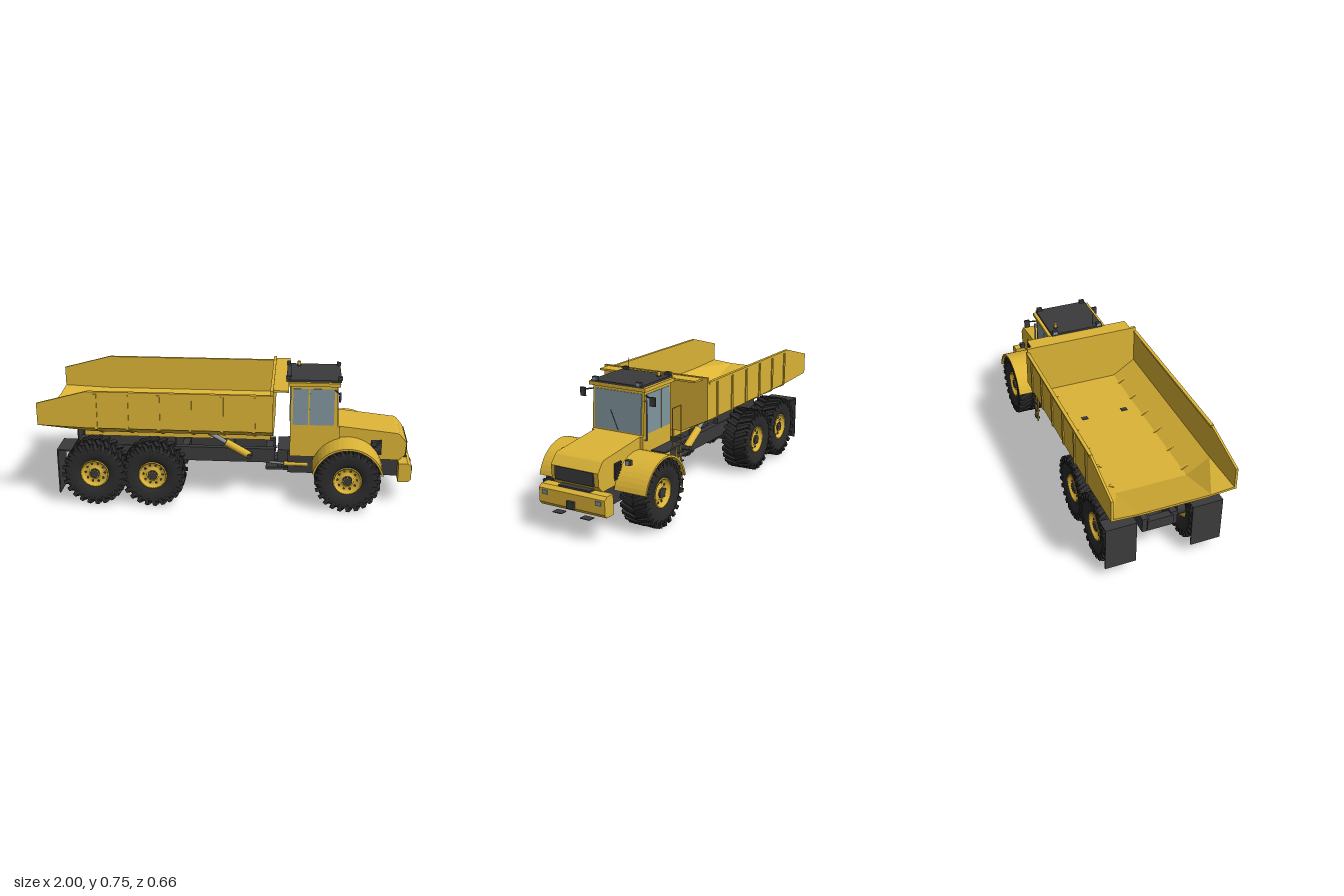
import * as THREE from 'three';
import { mergeGeometries } from 'three/addons/utils/BufferGeometryUtils.js';

const mat = (name, color) => {
  const m = new THREE.MeshStandardMaterial({ color });
  m.name = name;
  return m;
};

export function createModel() {
  const root = new THREE.Group();
  root.name = 'dumpTruck';
  const yellow = mat('yellow paint', 0xdcb436);
  const dark = mat('dark grey', 0x3b3b3d);
  const rubber = mat('tyre rubber', 0x2c2c2d);
  const glass = mat('glass', 0x82979f);
  const steel = mat('steel', 0x8f9496);

  const add = (name, geo, m, parent = root) => {
    const mesh = new THREE.Mesh(geo, m);
    mesh.name = name;
    parent.add(mesh);
    return mesh;
  };
  // box given by its limits on each axis
  const box = (name, m, x0, x1, y0, y1, z0, z1, parent) => {
    const b = add(name, new THREE.BoxGeometry(x1 - x0, y1 - y0, z1 - z0), m, parent);
    b.position.set((x0 + x1) / 2, (y0 + y1) / 2, (z0 + z1) / 2);
    return b;
  };
  // box repeated on both sides
  const pair = (name, m, x0, x1, y0, y1, z0, z1) => {
    box(name, m, x0, x1, y0, y1, z0, z1);
    box(name, m, x0, x1, y0, y1, -z1, -z0);
  };
  // round bar between two points
  const rod = (name, m, a, b, r, seg = 10) => {
    const p = new THREE.Vector3(...a), q = new THREE.Vector3(...b);
    const mesh = add(name, new THREE.CylinderGeometry(r, r, p.distanceTo(q), seg), m);
    mesh.position.copy(p).lerp(q, 0.5);
    mesh.quaternion.setFromUnitVectors(new THREE.Vector3(0, 1, 0), q.sub(p).normalize());
    return mesh;
  };
  // side profile (x, y) extruded from z0 to z1
  const slab = (name, m, pts, z0, z1) => {
    const shape = new THREE.Shape(pts.map(p => new THREE.Vector2(...p)));
    const g = new THREE.ExtrudeGeometry(shape, { depth: z1 - z0, bevelEnabled: false });
    return add(name, g.translate(0, 0, z0), m);
  };

  // ---- dump body: U-shaped shell through three cross-sections
  const ring = ([x, top, knee, floor]) => {
    const outer = [[0.325, top], [0.325, knee], [0.165, floor]];
    const inner = [[0.19, floor + 0.012], [0.313, knee + 0.012], [0.313, top]];
    const flip = a => a.map(([z, y]) => [-z, y]).reverse();
    return [...outer, ...flip(outer), ...flip(inner), ...inner].map(([z, y]) => [x, y, z]);
  };
  const rings = [[-1, 0.585, 0.465, 0.455], [-0.74, 0.655, 0.455, 0.375], [0.24, 0.655, 0.455, 0.375]].map(ring);
  const pos = [];
  const quad = (a, b, c, d) => pos.push(...a, ...b, ...c, ...a, ...c, ...d);
  for (let i = 0; i < 2; i++)
    for (let j = 0; j < 12; j++) {
      const k = (j + 1) % 12;
      quad(rings[i][j], rings[i][k], rings[i + 1][k], rings[i + 1][j]);
    }
  for (let k = 0; k < 5; k++) quad(rings[0][11 - k], rings[0][10 - k], rings[0][k + 1], rings[0][k]);
  const shell = new THREE.BufferGeometry();
  shell.setAttribute('position', new THREE.Float32BufferAttribute(pos, 3));
  shell.computeVertexNormals();
  add('dumpBody', shell, yellow);

  const wall = new THREE.Shape([[0.32, 0.68], [-0.32, 0.68], [-0.324, 0.455], [-0.165, 0.376], [0.165, 0.376], [0.324, 0.455]]
    .map(p => new THREE.Vector2(...p)));
  add('bodyFrontWall', new THREE.ExtrudeGeometry(wall, { depth: 0.016, bevelEnabled: false })
    .rotateY(Math.PI / 2).translate(0.226, 0, 0), yellow);
  box('bodyCanopy', yellow, 0.24, 0.32, 0.666, 0.676, -0.293, 0.293);
  box('bodySubframe', yellow, -0.8, 0.225, 0.33, 0.376, -0.11, 0.11);
  for (let i = 0; i < 6; i++) {
    const x = -0.687 + i * 0.166;
    pair('bodyRib', yellow, x - 0.008, x + 0.008, 0.455, 0.645, 0.322, 0.331);
    for (const s of [-1, 1]) {
      const r = add('lowerRib', new THREE.BoxGeometry(0.016, 0.01, 0.178), yellow);
      r.position.set(x, 0.414, s * 0.245);
      r.rotation.x = -s * 0.46;
    }
  }
  pair('bodyTopRail', yellow, -0.73, 0.226, 0.645, 0.657, 0.31, 0.328);
  pair('hoistPin', dark, -0.12, -0.095, 0.376, 0.39, 0.098, 0.132);

  // ---- rear frame
  pair('frameRail', dark, -0.85, 0.25, 0.19, 0.27, 0.06, 0.095);
  for (const x of [-0.84, -0.56, -0.25, 0, 0.22]) box('crossMember', dark, x - 0.02, x + 0.02, 0.2, 0.26, -0.07, 0.07);
  pair('bodySupport', dark, -0.78, -0.3, 0.265, 0.332, 0.06, 0.09);
  pair('mudFlap', dark, -0.909, -0.902, 0.07, 0.322, 0.15, 0.315);
  pair('flapBracket', dark, -0.905, -0.83, 0.314, 0.322, 0.15, 0.315);
  for (const s of [-1, 1]) {
    rod('hoistBarrel', yellow, [0.11, 0.24, s * 0.12], [-0.02, 0.315, s * 0.12], 0.021, 16);
    rod('hoistRod', steel, [-0.02, 0.315, s * 0.12], [-0.11, 0.368, s * 0.12], 0.012);
    rod('hoistMount', dark, [0.11, 0.24, s * 0.08], [0.11, 0.24, s * 0.145], 0.014);
    rod('steeringBarrel', yellow, [0.3, 0.2, s * 0.125], [0.43, 0.2, s * 0.125], 0.012);
    rod('steeringRod', steel, [0.22, 0.2, s * 0.11], [0.3, 0.2, s * 0.125], 0.007);
  }
  box('articulationHitch', dark, 0.265, 0.34, 0.155, 0.27, -0.1, 0.1);
  box('hitchPlate', dark, 0.2, 0.34, 0.155, 0.17, -0.11, 0.11);
  rod('driveShaft', dark, [-0.72, 0.18, 0], [0.64, 0.18, 0], 0.016);

  // ---- front frame, bumper
  box('frontFrame', dark, 0.32, 0.92, 0.15, 0.262, -0.13, 0.13);
  slab('bumper', yellow, [[0.915, 0.14], [0.97, 0.14], [0.985, 0.158], [0.985, 0.23], [0.965, 0.245], [0.915, 0.245]], -0.193, 0.193);
  pair('bumperLight', glass, 0.983, 0.99, 0.201, 0.222, 0.142, 0.172);
  box('towBlock', dark, 0.98, 1, 0.157, 0.194, -0.021, 0.021);
  pair('towPlate', dark, 0.955, 0.995, 0.119, 0.123, 0.055, 0.11);
  box('lowerGrille', dark, 0.92, 0.965, 0.243, 0.254, -0.092, 0.092);

  // ---- hood
  slab('hood', yellow, [[0.57, 0.245], [0.92, 0.245], [0.952, 0.275], [0.957, 0.345], [0.945, 0.36], [0.92, 0.39], [0.905, 0.398], [0.57, 0.434]], -0.138, 0.138);
  box('grille', dark, 0.95, 0.962, 0.278, 0.345, -0.113, 0.113);
  pair('louverPanel', dark, 0.765, 0.825, 0.272, 0.358, 0.135, 0.141);
  for (let i = 0; i < 7; i++) pair('louverFin', dark, 0.768, 0.822, 0.276 + i * 0.012, 0.281 + i * 0.012, 0.138, 0.146);

  // ---- cab
  slab('cab', yellow, [[0.33, 0.257], [0.6, 0.257], [0.595, 0.43], [0.585, 0.434], [0.575, 0.665], [0.33, 0.665]], -0.154, 0.154);
  box('roofTrim', yellow, 0.315, 0.592, 0.66, 0.679, -0.168, 0.168);
  box('roof', dark, 0.306, 0.597, 0.679, 0.69, -0.15, 0.15);
  const windshield = box('windshield', glass, 0.578, 0.585, 0.44, 0.645, -0.139, 0.139);
  windshield.rotation.z = 0.043;
  rod('wiper', dark, [0.588, 0.445, -0.002], [0.584, 0.543, 0.044], 0.003, 6);
  box('rearWindow', glass, 0.325, 0.331, 0.45, 0.64, -0.125, 0.125);
  for (const [a, b] of [[0.343, 0.424], [0.432, 0.562]]) pair('sideWindow', glass, a, b, 0.44, 0.643, 0.15, 0.157);
  for (const s of [-1, 1]) {
    rod('mirrorArm', dark, [0.565, 0.638, s * 0.154], [0.588, 0.63, s * 0.205], 0.004, 6);
    for (const x of [0.315, 0.588]) {
      const f = x > 0.4 ? 1 : -1;
      box('workLight', dark, x - 0.01, x + 0.01, 0.687, 0.706, s * 0.13 - 0.014, s * 0.13 + 0.014);
      box('workLightLens', glass, x + f * 0.011 - 0.002, x + f * 0.011 + 0.002, 0.689, 0.704, s * 0.13 - 0.012, s * 0.13 + 0.012);
    }
  }
  pair('mirror', dark, 0.583, 0.593, 0.595, 0.641, 0.194, 0.224);
  rod('beaconBase', dark, [0.37, 0.69, -0.108], [0.37, 0.697, -0.108], 0.011, 14);
  rod('beacon', yellow, [0.37, 0.697, -0.108], [0.37, 0.716, -0.108], 0.009, 14);
  rod('antenna', dark, [0.33, 0.69, 0.102], [0.33, 0.757, 0.102], 0.0015, 6);

  // ---- front fenders and headlights
  const arch = [];
  for (let i = 0; i <= 20; i++) {
    const a = 0.24 + (Math.PI - 0.48) * i / 20;
    arch.push([0.64 + 0.193 * Math.cos(a), 0.179 + 0.193 * Math.sin(a)]);
  }
  const archIn = arch.map(([x, y]) => [0.64 + (x - 0.64) * 0.945, 0.179 + (y - 0.179) * 0.945]).reverse();
  slab('fender', yellow, [...arch, ...archIn], 0.137, 0.317);
  slab('fender', yellow, [...arch, ...archIn], -0.317, -0.137);
  pair('headlight', dark, 0.765, 0.788, 0.346, 0.371, 0.176, 0.204);
  pair('headlightLens', glass, 0.787, 0.791, 0.349, 0.369, 0.179, 0.202);

  // ---- access ladder, platform and handrails on the right side
  box('platform', dark, 0.335, 0.52, 0.335, 0.345, -0.232, -0.15);
  for (const x of [0.355, 0.395]) rod('ladderRail', yellow, [x, 0.34, -0.228], [x, 0.085, -0.24], 0.005, 8);
  for (let i = 0; i < 5; i++) box('ladderRung', dark, 0.353, 0.397, 0.1 + i * 0.052, 0.107 + i * 0.052, -0.247, -0.227);
  for (const x of [0.345, 0.43]) rod('handrailPost', yellow, [x, 0.34, -0.226], [x, 0.55, -0.226], 0.003, 8);
  rod('handrailTop', yellow, [0.345, 0.55, -0.226], [0.43, 0.55, -0.226], 0.003, 8);
  rod('grabRail', steel, [0.575, 0.41, -0.166], [0.575, 0.615, -0.166], 0.0045, 8);
  for (const y of [0.412, 0.612]) rod('grabRailEnd', steel, [0.575, y, -0.15], [0.575, y, -0.168], 0.004, 8);

  // ---- wheels: tyre with chevron lugs, dished rim and hub; outer side is local +z
  const lathe = (pts, seg = 40) => new THREE.LatheGeometry(pts.map(p => new THREE.Vector2(...p)), seg).rotateX(Math.PI / 2);
  const tyreGeo = lathe([[0.074, -0.055], [0.08, -0.063], [0.105, -0.071], [0.14, -0.074], [0.157, -0.068], [0.164, -0.055],
    [0.165, 0], [0.164, 0.055], [0.157, 0.068], [0.14, 0.074], [0.105, 0.071], [0.08, 0.063], [0.074, 0.055]]);
  const lugs = [];
  const count = 24;
  for (let i = 0; i < count; i++)
    for (const s of [-1, 1]) {
      const a = (i + (s > 0 ? 0.5 : 0)) / count * Math.PI * 2;
      lugs.push(new THREE.BoxGeometry(0.018, 0.021, 0.076).rotateX(s * 0.42).translate(0.166, 0, s * 0.037).rotateZ(a));
      lugs.push(new THREE.BoxGeometry(0.034, 0.019, 0.012).translate(0.153, s * s * -0.014, s * 0.07).rotateZ(a));
    }
  const lugGeo = mergeGeometries(lugs);
  const rimGeo = lathe([[0.077, 0.04], [0.077, 0.064], [0.069, 0.064], [0.065, 0.046], [0.036, 0.042], [0.034, 0.054], [0, 0.054]]);
  const disc = (r, z0, z1, seg) => new THREE.CylinderGeometry(r, r, z1 - z0, seg).rotateX(Math.PI / 2).translate(0, 0, (z0 + z1) / 2);
  const backGeo = disc(0.076, -0.05, 0.035, 32);
  const holes = [];
  for (let i = 0; i < 10; i++) holes.push(disc(0.0065, 0.04, 0.0475, 10).translate(0.052, 0, 0).rotateZ(i * Math.PI / 5));
  holes.push(disc(0.026, 0.05, 0.062, 24));
  const hubGeo = mergeGeometries(holes);
  const boltGeo = mergeGeometries([0, 1, 2, 3, 4, 5, 6, 7].map(i =>
    disc(0.0025, 0.06, 0.065, 6).translate(0.021, 0, 0).rotateZ(i * Math.PI / 4)));

  for (const x of [-0.715, -0.4, 0.64]) {
    rod('axle', dark, [x, 0.18, -0.2], [x, 0.18, 0.2], 0.03, 16);
    const diff = add('differential', new THREE.SphereGeometry(0.055, 20, 14), dark);
    diff.position.set(x, 0.183, 0);
    for (const s of [-1, 1]) {
      rod('brakeDrum', dark, [x, 0.18, s * 0.14], [x, 0.18, s * 0.185], 0.052, 20);
      const wheel = new THREE.Group();
      wheel.name = 'wheel';
      wheel.position.set(x, 0.18, s * 0.234);
      if (s < 0) wheel.rotation.y = Math.PI;
      add('tyre', tyreGeo, rubber, wheel);
      add('treadLugs', lugGeo, rubber, wheel);
      add('rim', rimGeo, yellow, wheel);
      add('rimBack', backGeo, yellow, wheel);
      add('hub', hubGeo, dark, wheel);
      add('wheelBolts', boltGeo, yellow, wheel);
      root.add(wheel);
    }
  }
  return root;
}
